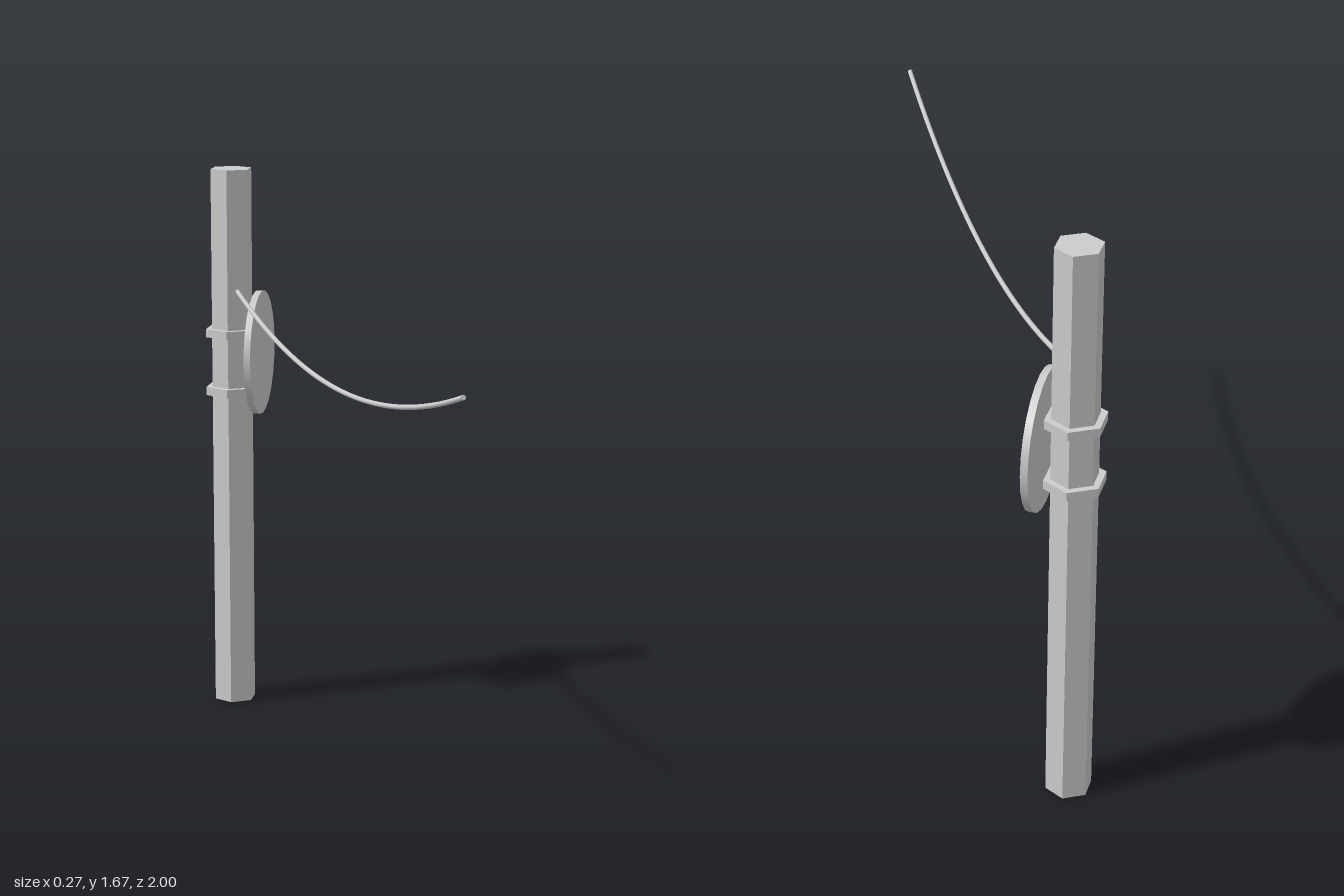
import * as THREE from 'three';

const POLE_X = -0.05, POLE_Z = -0.86;

export function createModel() {
  const group = new THREE.Group();
  const flat = new THREE.MeshStandardMaterial({ color: 0xcccccc, flatShading: true, side: THREE.DoubleSide });
  const smooth = new THREE.MeshStandardMaterial({ color: 0xcccccc });

  const add = (name, geometry, material, x, y, z) => {
    const mesh = new THREE.Mesh(geometry, material);
    mesh.name = name;
    mesh.position.set(x, y, z);
    group.add(mesh);
    return mesh;
  };

  // Hexagonal prism with corners on the x axis
  const hexPrism = (radius, height, open = false) =>
    new THREE.CylinderGeometry(radius, radius, height, 6, 1, open).rotateY(Math.PI / 6);

  // Hollow pole, closed at the top
  const height = 1.67;
  add('pole', hexPrism(0.065, height, true), flat, POLE_X, height / 2, POLE_Z);
  add('poleCap', new THREE.CircleGeometry(0.065, 6).rotateX(-Math.PI / 2), flat, POLE_X, height, POLE_Z);

  // Two clamp bands around the pole
  for (const [name, y] of [['lowerBand', 0.988], ['upperBand', 1.168]]) {
    add(name, hexPrism(0.085, 0.025), flat, POLE_X, y, POLE_Z);
  }

  // Round sign plate resting on the bands, facing 30 degrees forward of +x
  const plate = add('signPlate',
    new THREE.CylinderGeometry(0.19, 0.19, 0.02, 24).rotateX(Math.PI / 2),
    smooth, 0.0265, 1.105, -0.828);
  plate.rotation.y = Math.PI / 3;

  // Sagging cable running forward from the pole, with closed ends
  const start = new THREE.Vector3(POLE_X, 1.302, -0.81);
  const end = new THREE.Vector3(POLE_X, 1.302, 0.998);
  const sag = new THREE.Vector3(POLE_X, 1.014, 0.094);
  const path = new THREE.QuadraticBezierCurve3(start, sag, end);
  add('cable', new THREE.TubeGeometry(path, 32, 0.007, 8), smooth, 0, 0, 0);
  for (const [name, t, sign] of [['cableBackEnd', 0, -1], ['cableFrontEnd', 1, 1]]) {
    const p = path.getPoint(t);
    const tip = add(name, new THREE.CircleGeometry(0.007, 8), smooth, p.x, p.y, p.z);
    tip.lookAt(p.clone().addScaledVector(path.getTangent(t), sign));
  }

  return group;
}
